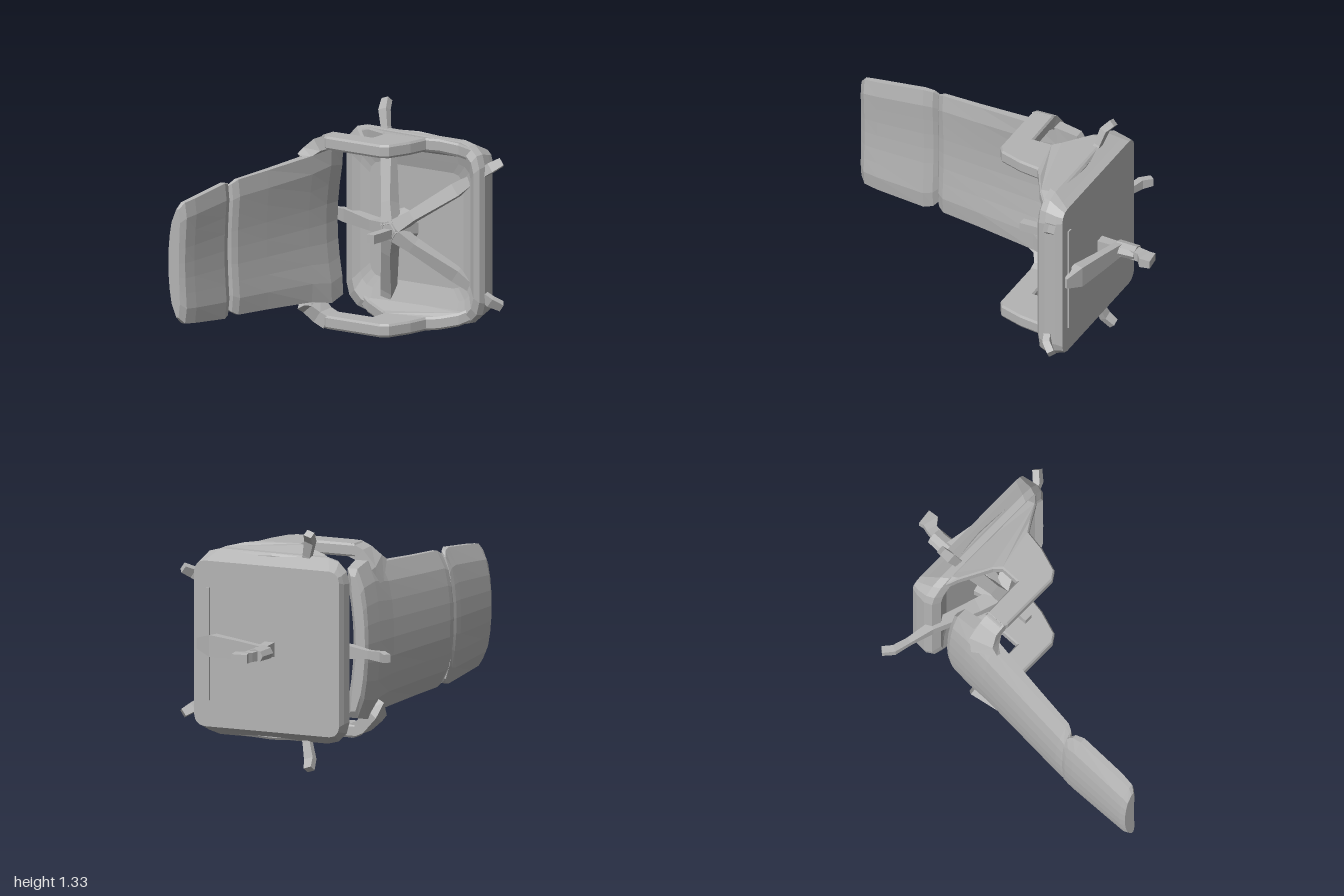
import * as THREE from 'three';

const V = (x, y, z) => new THREE.Vector3(x, y, z);
const CY = 0.66; // symmetry plane

export function createModel() {
  const model = new THREE.Group();
  model.name = 'officeChair';
  const grey = new THREE.MeshStandardMaterial({ color: 0xb4b4b4, flatShading: true });
  grey.name = 'plain grey';

  const add = (name, geometry) => {
    const mesh = new THREE.Mesh(geometry, grey);
    mesh.name = name;
    model.add(mesh);
    return mesh;
  };

  // Skin a list of equal-length rings, closing both ends
  const loft = (rings) => {
    const pos = [];
    const tri = (...p) => p.forEach((v) => pos.push(v.x, v.y, v.z));
    const n = rings[0].length;
    const mid = (r) => r.reduce((s, v) => s.add(v), V(0, 0, 0)).divideScalar(n);
    const first = rings[0], last = rings[rings.length - 1];
    const c0 = mid(first), c1 = mid(last);
    for (let i = 0; i < n; i++) {
      const j = (i + 1) % n;
      for (let k = 0; k + 1 < rings.length; k++) {
        const a = rings[k], b = rings[k + 1];
        tri(a[i], a[j], b[j]);
        tri(a[i], b[j], b[i]);
      }
      tri(c0, first[j], first[i]);
      tri(c1, last[i], last[j]);
    }
    const g = new THREE.BufferGeometry();
    g.setAttribute('position', new THREE.Float32BufferAttribute(pos, 3));
    g.computeVertexNormals();
    return g;
  };

  // Rounded rectangle ring at height z
  const ring = (x0, x1, hy, z, r) => {
    const pts = [];
    const cx = (x0 + x1) / 2, hx = (x1 - x0) / 2;
    [[1, 1], [-1, 1], [-1, -1], [1, -1]].forEach(([sx, sy], q) => {
      for (let k = 0; k <= 3; k++) {
        const a = (q + k / 3) * Math.PI / 2;
        pts.push(V(cx + sx * (hx - r) + r * Math.cos(a), CY + sy * (hy - r) + r * Math.sin(a), z));
      }
    });
    return pts;
  };

  // Tapered beam through points [x, y, z, width, height]
  const beam = (pts, up = V(0, 0, 1)) => {
    const p = pts.map((q) => V(q[0], q[1], q[2]));
    return loft(pts.map((q, i) => {
      const d = p[Math.min(i + 1, p.length - 1)].clone().sub(p[Math.max(i - 1, 0)]).normalize();
      const a = up.clone().cross(d).normalize();
      const b = d.clone().cross(a);
      return [[-1, -1], [1, -1], [1, 1], [-1, 1]].map(([u, v]) =>
        p[i].clone().addScaledVector(a, u * q[3] / 2).addScaledVector(b, v * q[4] / 2));
    }));
  };

  // Seat: shallow tray with a flat underside
  add('seat', loft([
    ring(-0.345, 0.53, 0.455, -0.667, 0.06),
    ring(-0.355, 0.54, 0.475, -0.63, 0.09),
    ring(-0.36, 0.55, 0.51, -0.57, 0.13),
    ring(-0.34, 0.54, 0.51, -0.53, 0.14),
    ring(-0.29, 0.515, 0.465, -0.51, 0.12),
    ring(-0.25, 0.48, 0.38, -0.535, 0.08),
    ring(-0.2, 0.42, 0.32, -0.553, 0.07),
  ]));

  // Cushions: sections [z, back x, front x, half width, back bow, front bow]
  const cushion = (name, rows) => add(name, loft(rows.map(([z, x0, x1, hy, bowBack, bowFront]) => {
    const front = [], back = [];
    for (let i = 0; i <= 8; i++) {
      const t = -1 + i / 4;
      const inset = 0.25 * (x1 - x0) * Math.pow(t, 8);
      const y = CY + 0.013 + t * hy;
      front.push(V(x1 - inset + bowFront * t * t, y, z));
      back.unshift(V(x0 + inset + bowBack * t * t, y, z));
    }
    return [...front, ...back];
  })));
  cushion('backrest', [
    [-0.395, -0.365, -0.31, 0.37, 0.045, 0.045], [-0.37, -0.375, -0.285, 0.41, 0.045, 0.06],
    [-0.25, -0.385, -0.275, 0.435, 0.05, 0.065], [-0.1, -0.395, -0.285, 0.405, 0.055, 0.05],
    [0.25, -0.425, -0.317, 0.385, 0.055, 0.035], [0.48, -0.445, -0.342, 0.375, 0.055, 0.03],
    [0.515, -0.445, -0.36, 0.355, 0.05, 0.025], [0.535, -0.44, -0.385, 0.335, 0.03, 0.01],
  ]);
  cushion('headrest', [
    [0.52, -0.44, -0.385, 0.335, 0.03, 0.01], [0.55, -0.448, -0.36, 0.365, 0.045, 0.025],
    [0.6, -0.45, -0.345, 0.375, 0.05, 0.03], [0.88, -0.452, -0.345, 0.345, 0.05, 0.03],
    [0.96, -0.452, -0.35, 0.335, 0.05, 0.025], [0.99, -0.44, -0.37, 0.3, 0.035, 0.015],
  ]);

  // Armrests: side profile in x and z, its skirt bent inwards into the seat edge
  const profile = new THREE.Shape([
    [-0.22, -0.14], [-0.18, -0.125], [0.17, -0.125], [0.21, -0.15], [0.255, -0.28], [0.275, -0.4],
    [0.34, -0.44], [0.43, -0.49], [0.49, -0.54], [0.4, -0.58], [0.1, -0.59], [-0.2, -0.57],
    [-0.28, -0.55], [-0.17, -0.5], [0, -0.4], [0.04, -0.36], [0.04, -0.24], [-0.22, -0.235],
  ].map(([x, z]) => new THREE.Vector2(x, z)));
  for (const s of [1, -1]) {
    const side = s > 0 ? 'left' : 'right';
    const g = new THREE.ExtrudeGeometry(profile, {
      depth: 0.05, bevelEnabled: true, bevelThickness: 0.012, bevelSize: 0.008, bevelSegments: 1,
    });
    g.rotateX(Math.PI / 2);
    const p = g.attributes.position;
    for (let i = 0; i < p.count; i++) {
      const drop = THREE.MathUtils.clamp((-0.4 - p.getZ(i)) / 0.15, 0, 1);
      const corner = Math.max(0, Math.abs(p.getX(i) - 0.1) - 0.25);
      p.setY(i, p.getY(i) - s * drop * (0.022 + 0.28 * corner));
    }
    g.computeVertexNormals();
    const arm = add(side + 'Armrest', g);
    arm.position.y = CY + s * 0.497 + 0.025;
    add(side + 'ArmrestElbow', beam([
      [-0.19, CY + s * 0.5, -0.18, 0.075, 0.115], [-0.25, CY + s * 0.475, -0.18, 0.075, 0.115],
      [-0.31, CY + s * 0.415, -0.17, 0.07, 0.15], [-0.335, CY + s * 0.37, -0.13, 0.05, 0.18],
    ]));
  }

  // Five-legged star base
  const hubX = 0.06;
  for (let k = 0; k < 5; k++) {
    const a = (36 + 72 * k) * Math.PI / 180;
    const row = (r, z, w, h) => [hubX + r * Math.cos(a), CY + r * Math.sin(a), z, w, h];
    add('leg' + (k + 1), beam([
      row(0.02, -0.39, 0.08, 0.08), row(0.14, -0.435, 0.06, 0.08), row(0.4, -0.535, 0.075, 0.05),
      row(0.54, -0.57, 0.045, 0.035), row(0.63, -0.595, 0.055, 0.04), row(0.68, -0.64, 0.045, 0.04),
    ]));
  }
  const hub = add('hub', new THREE.CylinderGeometry(0.05, 0.1, 0.15, 10).rotateX(Math.PI / 2));
  hub.position.set(hubX, CY, -0.43);
  const post = add('centrePost', new THREE.BoxGeometry(0.05, 0.05, 0.4));
  post.position.set(hubX, 0.643, -0.39);

  // Mechanism below the seat: sloping arm, stem, knob and rail
  add('tiltArm', beam([
    [0.5, CY, -0.665, 0.06, 0.04], [0.4, CY, -0.7, 0.12, 0.06],
    [0.22, CY, -0.745, 0.1, 0.045], [0.04, CY, -0.785, 0.07, 0.04],
  ]));
  add('tiltStem', beam([[0.075, CY, -0.66, 0.08, 0.06], [0.07, CY, -0.8, 0.06, 0.05]], V(1, 0, 0)));
  const cap = add('tiltCap', new THREE.CylinderGeometry(0.055, 0.05, 0.12, 8).rotateX(Math.PI / 2));
  cap.scale.y = 0.75;
  cap.position.set(0.058, CY, -0.825);
  add('knob', beam([
    [0.065, CY, -0.86, 0.055, 0.06], [0.075, CY, -0.92, 0.05, 0.06],
    [0.1, CY, -0.95, 0.055, 0.09], [0.095, CY, -0.995, 0.045, 0.09],
  ], V(1, 0, 0)));
  const rail = add('underRail', new THREE.BoxGeometry(0.03, 0.62, 0.02));
  rail.position.set(0.45, CY, -0.665);

  return model;
}
